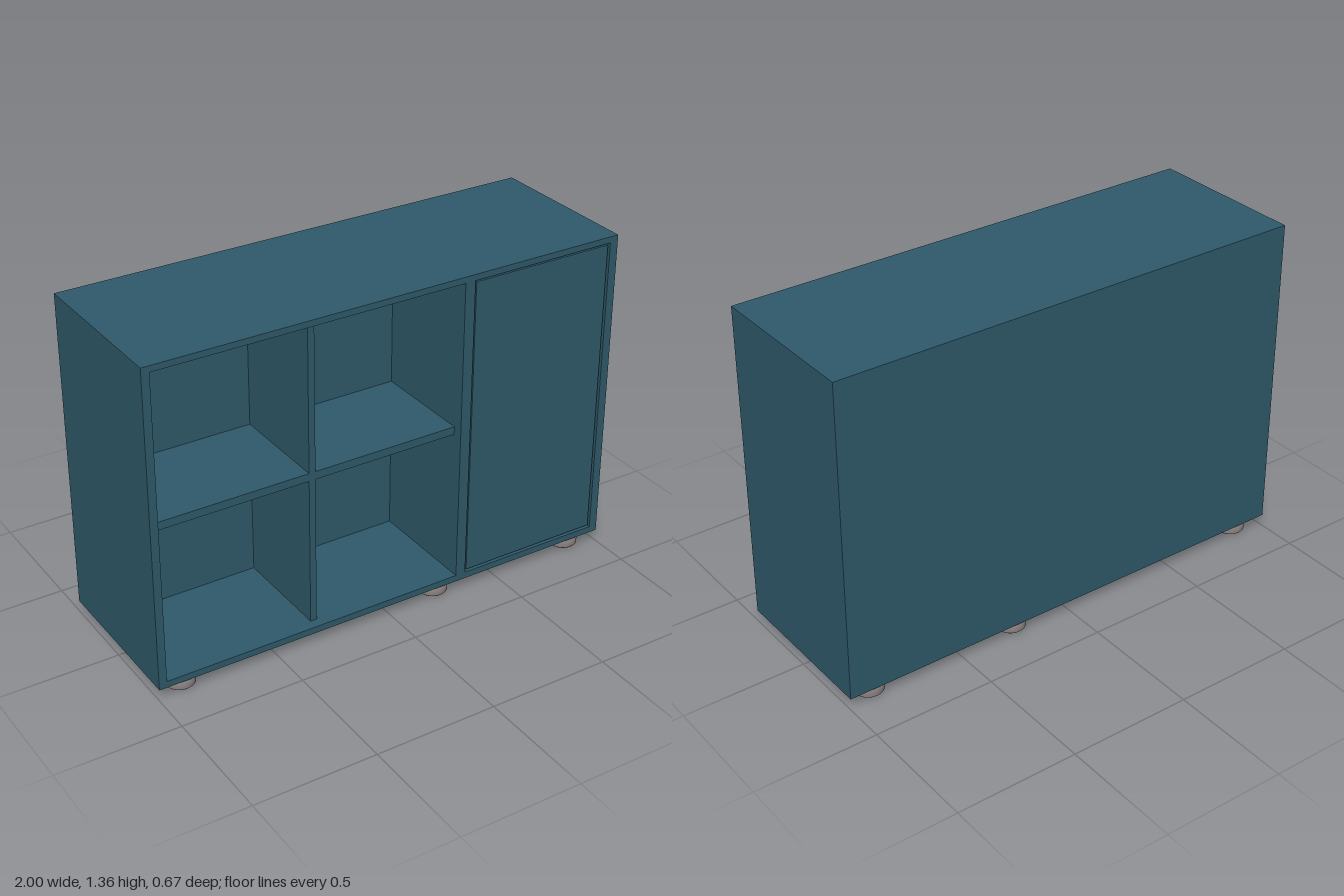
import * as THREE from 'three';

const PAINT = new THREE.MeshStandardMaterial({ color: 0x2f5a6b });
const FOOT = new THREE.MeshStandardMaterial({ color: 0x8a7f7f });

const FRONT = 0.333, BACK = -0.333, INNER_BACK = -0.137;
const BASE = 0.05, TOP = 1.36, FLOOR = 0.077, CEILING = 1.335;

// Box given by its limits on each axis
function panel(name, [x0, x1], [y0, y1], [z0, z1]) {
  const mesh = new THREE.Mesh(new THREE.BoxGeometry(x1 - x0, y1 - y0, z1 - z0), PAINT);
  mesh.position.set((x0 + x1) / 2, (y0 + y1) / 2, (z0 + z1) / 2);
  mesh.name = name;
  return mesh;
}

function rectangle(Type, x0, x1, y0, y1) {
  return new Type([[x0, y0], [x1, y0], [x1, y1], [x0, y1]].map(p => new THREE.Vector2(...p)));
}

export function createModel() {
  const cabinet = new THREE.Group();
  cabinet.name = 'cabinet';

  // Carcass: outer frame and main partition, open at the shelf bay and door bay
  const outline = rectangle(THREE.Shape, -1, 1, BASE, TOP);
  outline.holes.push(
    rectangle(THREE.Path, -0.968, 0.302, FLOOR, CEILING),
    rectangle(THREE.Path, 0.345, 0.965, FLOOR, CEILING)
  );
  const carcass = new THREE.Mesh(
    new THREE.ExtrudeGeometry(outline, { depth: FRONT - INNER_BACK, bevelEnabled: false }), PAINT);
  carcass.position.z = INNER_BACK;
  carcass.name = 'carcass';

  // Back, divider and shelves, the inner boards set in from the front edge
  const inset = [INNER_BACK, FRONT - 0.042];
  cabinet.add(
    carcass,
    panel('back', [-1, 1], [BASE, TOP], [BACK, INNER_BACK]),
    panel('divider', [-0.337, -0.31], [FLOOR, CEILING], inset),
    panel('leftShelf', [-0.968, -0.337], [0.692, 0.725], inset),
    panel('rightShelf', [-0.31, 0.302], [0.692, 0.725], inset),
    panel('door', [0.353, 0.957], [0.086, 1.327], [FRONT - 0.035, FRONT - 0.004])
  );

  // Round feet with a small chamfer at the floor
  const profile = [[0, 0], [0.054, 0], [0.059, 0.005], [0.059, BASE], [0, BASE]]
    .map(p => new THREE.Vector2(...p));
  const footGeometry = new THREE.LatheGeometry(profile, 32);
  for (const x of [-0.882, 0.238, 0.882]) {
    for (const z of [-0.264, 0.264]) {
      const foot = new THREE.Mesh(footGeometry, FOOT);
      foot.position.set(x, 0, z);
      foot.name = 'foot';
      cabinet.add(foot);
    }
  }
  return cabinet;
}
